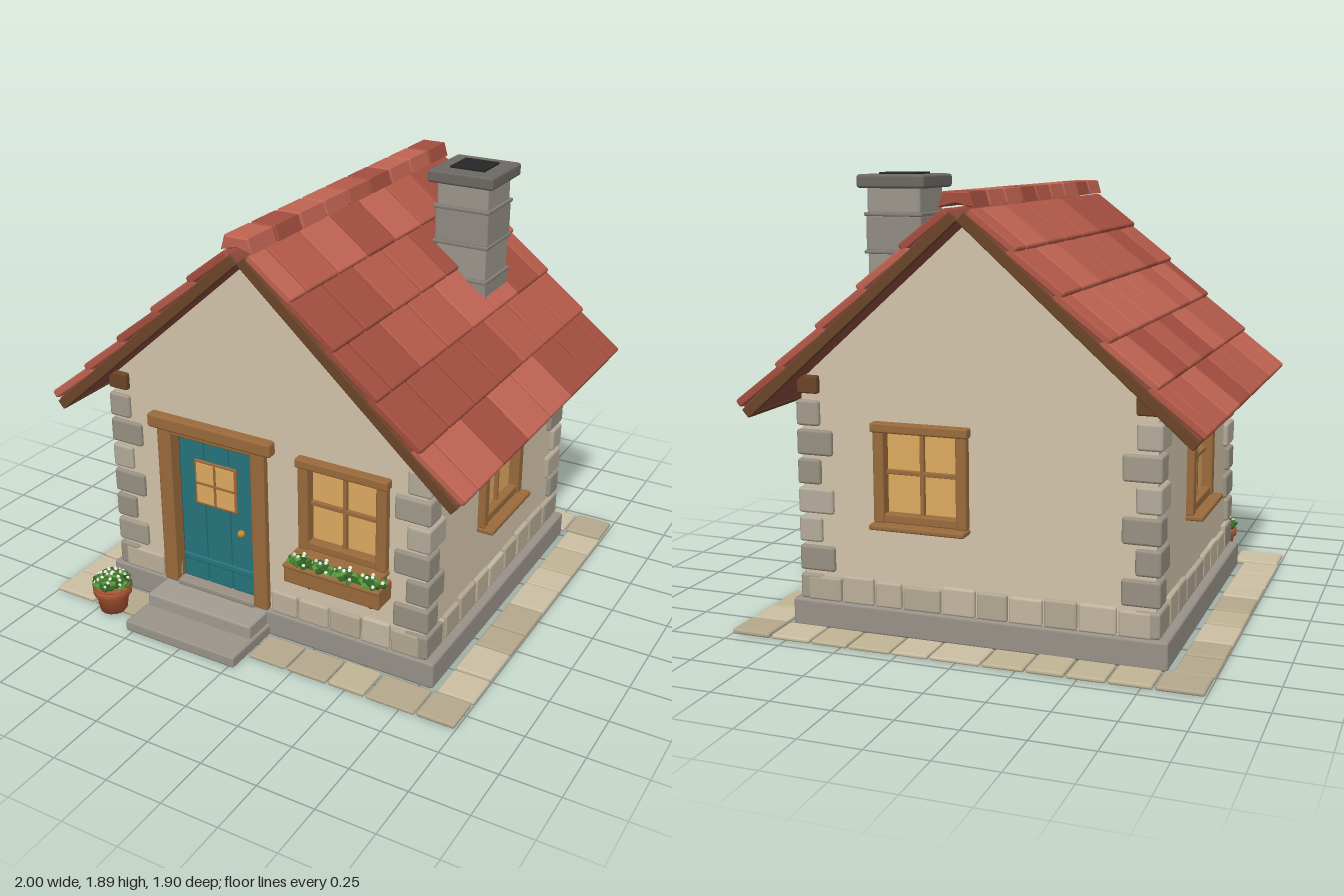
import * as THREE from 'three';
import { RoundedBoxGeometry } from 'three/addons/geometries/RoundedBoxGeometry.js';

const mats = {};
const mat = (c) => (mats[c] ??= new THREE.MeshStandardMaterial({ color: c }));
const WALL = 0xd4c5ab, WOOD = 0x9a6b3c, DARKWOOD = 0x6b4528, TEAL = 0x25757c, GLASS = 0xdfab60;
const STONES = [0xa39b8c, 0xb5ac9b, 0x989183], PLINTH = [0xbdb19a, 0xb3a892, 0xc3b8a1], PAVERS = [0xc2b596, 0xb5a88c, 0xccc0a4];
const TILES = [0xb45a49, 0xa34e3f, 0xc06452], LEAVES = [0x3f7a2c, 0x56973c, 0x2f6424];
const HX = 0.755, HZ = 0.69, FLOOR = 0.12, APEX = 1.72, PITCH = 41.5 * Math.PI / 180;
const roofY = (x) => APEX - Math.abs(x) * Math.tan(PITCH);

let seed = 7;
const rnd = () => (seed = (seed * 16807) % 2147483647) / 2147483647;
const pick = (list) => list[Math.floor(rnd() * list.length)];

function add(parent, name, geometry, color, x = 0, y = 0, z = 0) {
  const m = new THREE.Mesh(geometry, mat(color));
  m.name = name;
  m.position.set(x, y, z);
  parent.add(m);
  return m;
}
// chamfered block given by its min and max corners
function block(parent, name, color, [x0, x1], [y0, y1], [z0, z1], r = 0.008) {
  const w = x1 - x0, h = y1 - y0, d = z1 - z0;
  const g = new RoundedBoxGeometry(w, h, d, 1, Math.min(r, w * 0.45, h * 0.45, d * 0.45));
  return add(parent, name, g, color, (x0 + x1) / 2, (y0 + y1) / 2, (z0 + z1) / 2);
}
function group(parent, name, x = 0, y = 0, z = 0) {
  const g = new THREE.Group();
  g.name = name;
  g.position.set(x, y, z);
  parent.add(g);
  return g;
}
function polygon(points, Type = THREE.Shape) {
  return new Type(points.map(([x, y]) => new THREE.Vector2(x, y)));
}
const rect = (x0, x1, y0, y1) => [[x0, y0], [x1, y0], [x1, y1], [x0, y1]];

// wall with its outer face on local z = 0, openings cut through
function wallPanel(parent, outline, openings) {
  const shape = polygon(outline);
  shape.holes = openings.map((o) => polygon(rect(...o), THREE.Path));
  add(parent, 'wall', new THREE.ExtrudeGeometry(shape, { depth: 0.06, bevelEnabled: false }), WALL, 0, 0, -0.06);
}

function windowUnit(parent, cx) {
  const w = group(parent, 'window', cx, 0, 0);
  block(w, 'windowGlass', GLASS, [-0.17, 0.17], [0.48, 0.88], [-0.05, -0.015], 0.002);
  for (const s of [-1, 1]) {
    block(w, 'windowJamb', WOOD, [s * 0.18 - 0.024, s * 0.18 + 0.024], [0.485, 0.87], [-0.04, 0.032]);
  }
  block(w, 'windowFrameBottom', WOOD, [-0.17, 0.17], [0.485, 0.525], [-0.04, 0.025]);
  block(w, 'windowHeader', WOOD, [-0.212, 0.212], [0.862, 0.902], [-0.04, 0.042]);
  block(w, 'windowSill', WOOD, [-0.208, 0.208], [0.465, 0.488], [-0.03, 0.075]);
  block(w, 'windowMullion', WOOD, [-0.009, 0.009], [0.52, 0.865], [-0.02, 0.002], 0.003);
  block(w, 'windowCrossbar', WOOD, [-0.16, 0.16], [0.686, 0.704], [-0.02, 0.002], 0.003);
}

// leafy mound with small blossoms, filling an ellipsoid
function foliage(parent, cx, cy, cz, rx, ry, rz, n) {
  const leaf = new THREE.IcosahedronGeometry(1, 0), petal = new THREE.IcosahedronGeometry(0.009, 0);
  for (let i = 0; i < n; i++) {
    const a = i * 2.4, r = Math.sqrt((i + 0.5) / n), h = Math.sqrt(1 - r * r * 0.8);
    const x = cx + rx * r * Math.cos(a), y = cy + ry * h, z = cz + rz * r * Math.sin(a);
    const m = add(parent, 'leaf', leaf, pick(LEAVES), x, y - 0.012, z);
    m.scale.set(0.022, 0.012, 0.018);
    m.rotation.set(rnd() - 0.5, rnd() * 6, rnd() - 0.5);
    if (i % 3 === 0) add(parent, 'blossom', petal, pick([0xf2eee6, 0xe8d5dc, 0xf4f0d8]), x, y, z);
  }
}

function flowerBox(parent, cx) {
  const b = group(parent, 'flowerBox', cx, 0, 0);
  block(b, 'boxBack', WOOD, [-0.215, 0.215], [0.365, 0.45], [0.005, 0.02]);
  block(b, 'boxFront', WOOD, [-0.22, 0.22], [0.365, 0.45], [0.1, 0.118]);
  block(b, 'boxRim', WOOD, [-0.225, 0.225], [0.435, 0.455], [0.1, 0.125]);
  block(b, 'boxSoil', 0x4a3424, [-0.21, 0.21], [0.365, 0.435], [0.02, 0.1]);
  for (const s of [-1, 1]) {
    block(b, 'boxEnd', WOOD, [s * 0.214 - 0.008, s * 0.214 + 0.008], [0.365, 0.452], [0.005, 0.118]);
    block(b, 'boxBracket', DARKWOOD, [s * 0.145 - 0.009, s * 0.145 + 0.009], [0.31, 0.37], [0, 0.05]);
    for (const k of [0.055, 0.16]) foliage(b, s * k, 0.435, 0.065, 0.06, 0.055, 0.05, 26);
  }
}

function door(parent) {
  const d = group(parent, 'door', -0.25, 0, 0);
  for (const i of [-1, 0, 1]) {
    block(d, 'doorPlank', TEAL, [i * 0.127 - 0.062, i * 0.127 + 0.062], [0.14, 0.84], [-0.05, -0.015], 0.006);
  }
  block(d, 'doorBacking', 0x1a5358, [-0.2, 0.2], [0.12, 0.86], [-0.058, -0.03], 0.002);
  block(d, 'doorRail', TEAL, [-0.185, 0.185], [0.235, 0.265], [-0.02, -0.005]);
  for (const s of [-1, 1]) block(d, 'doorPost', WOOD, [s * 0.235 - 0.035, s * 0.235 + 0.035], [FLOOR, 0.875], [-0.05, 0.03]);
  block(d, 'doorTopRail', WOOD, [-0.21, 0.21], [0.842, 0.875], [-0.05, 0.02]);
  block(d, 'doorLintel', WOOD, [-0.308, 0.308], [0.868, 0.932], [-0.03, 0.045], 0.012);
  block(d, 'doorSill', STONES[2], [-0.2, 0.2], [0.11, 0.138], [-0.05, 0.03]);
  // small window in the door
  block(d, 'doorWindowFrame', WOOD, [-0.107, 0.107], [0.53, 0.742], [-0.03, -0.006], 0.004);
  block(d, 'doorWindowGlass', GLASS, [-0.096, 0.096], [0.541, 0.731], [-0.02, -0.003], 0.002);
  block(d, 'doorWindowBar', WOOD, [-0.005, 0.005], [0.54, 0.732], [-0.01, 0.002], 0.002);
  block(d, 'doorWindowBar', WOOD, [-0.097, 0.097], [0.631, 0.641], [-0.01, 0.002], 0.002);
  add(d, 'doorKnob', new THREE.SphereGeometry(0.017, 12, 8), 0xc08a2e, 0.13, 0.447, 0.002);
}

// row of stones along local x between a and b
function stoneRow(parent, name, colors, a, b, step, y0, y1, z, vary) {
  const n = Math.max(1, Math.round((b - a) / step)), w = (b - a) / n;
  let x = a;
  for (let i = 1; i <= n; i++) {
    const end = i === n ? b : a + i * w + (rnd() - 0.5) * step * 0.25;
    block(parent, name, pick(colors), [x + 0.004, end - 0.004], [y0, y1 - rnd() * vary], z, 0.01);
    x = end;
  }
}

function roofSlope(house, rotY) {
  const turn = group(house, 'roofSlope', 0, APEX, 0);
  turn.rotation.y = rotY;
  const slope = group(turn, 'slope');
  slope.rotation.z = -PITCH;
  const L = 1.225, Z = 0.84, row = L / 5, col = 2 * Z / 7;
  block(slope, 'roofDeck', 0x8f4a3d, [0, L - 0.01], [0.004, 0.05], [-Z + 0.01, Z - 0.01], 0.002);
  for (const s of [-1, 1]) block(slope, 'bargeBoard', DARKWOOD, [0.0, L], [0, 0.045], [s * 0.827 - 0.014, s * 0.827 + 0.014], 0.004);
  block(slope, 'eaveBoard', DARKWOOD, [L - 0.03, L], [0, 0.045], [-Z, Z], 0.004);
  for (let r = 0; r < 5; r++) {
    // alternate rows shifted by half a tile
    const edges = [-Z];
    for (let z = -Z + (r % 2 ? col : col / 2); z < Z - 0.01; z += col) edges.push(z);
    edges.push(Z);
    for (let i = 0; i + 1 < edges.length; i++) {
      const x1 = L - (4 - r) * row + 0.004;
      const x0 = Math.max(x1 - row - 0.03, 0.01);
      const t = block(slope, 'roofTile', pick(TILES), [x0, x1], [0.042, 0.079],
        [edges[i] + 0.004, edges[i + 1] - 0.004], 0.01);
      t.rotation.z = 0.09;
      t.rotation.z *= -1;
      t.position.y += 0.004;
      t.rotation.z = 0.07;
    }
  }
}

function chimney(house) {
  const c = group(house, 'chimney', 0.43, 0, -0.348);
  const ys = [1.2, 1.41, 1.565, 1.72, 1.84];
  for (let i = 0; i < 4; i++) {
    const h = i % 2 ? 0.12 : 0.125;
    block(c, 'chimneyCourse', i % 2 ? 0x9c968d : 0x928c83, [-h, h], [ys[i], ys[i + 1]], [-h, h], 0.012);
    if (i) block(c, 'chimneyBand', 0x857f77, [-0.13, 0.13], [ys[i] - 0.008, ys[i] + 0.008], [-0.13, 0.13], 0.005);
  }
  block(c, 'chimneyCap', 0x6d6964, [-0.152, 0.152], [1.826, 1.882], [-0.152, 0.152], 0.012);
  block(c, 'chimneyFlue', 0x262626, [-0.08, 0.08], [1.85, 1.89], [-0.08, 0.08], 0.003);
}

export function createModel() {
  const model = new THREE.Group();
  model.name = 'cottage';
  const house = group(model, 'house', 0, 0, -0.048);
  block(house, 'foundation', 0x99928a, [-0.81, 0.81], [0, FLOOR], [-0.715, 0.715], 0.012);

  // four faces: local x along the wall, local z outward
  const gable = [[-HX, FLOOR], [HX, FLOOR], [HX, roofY(HX)], [0, APEX], [-HX, roofY(HX)]];
  const side = rect(-HZ + 0.06, HZ - 0.06, FLOOR, roofY(HX));
  const faces = [
    { name: 'frontFace', rot: 0, dist: HZ, half: HX, outline: gable, win: 0.385, hasDoor: true },
    { name: 'backFace', rot: Math.PI, dist: HZ, half: HX, outline: gable, win: -0.22 },
    { name: 'leftFace', rot: Math.PI / 2, dist: HX, half: HZ, outline: side, win: 0 },
    { name: 'rightFace', rot: -Math.PI / 2, dist: HX, half: HZ, outline: side, win: 0 },
  ];
  for (const f of faces) {
    const turn = group(house, f.name);
    turn.rotation.y = f.rot;
    const face = group(turn, 'face', 0, 0, f.dist);
    const holes = [[f.win - 0.165, f.win + 0.165, 0.5, 0.87]];
    if (f.hasDoor) holes.push([-0.45, -0.05, 0.125, 0.86]);
    wallPanel(face, f.outline, holes);
    windowUnit(face, f.win);
    const runs = f.hasDoor ? [[-f.half + 0.01, -0.53], [0.03, f.half - 0.01]] : [[-f.half + 0.01, f.half - 0.01]];
    for (const [a, b] of runs) stoneRow(face, 'plinthStone', PLINTH, a, b, 0.155, FLOOR, 0.243, [-0.03, 0.02], 0.025);
    if (f.hasDoor) { door(face); flowerBox(face, f.win); }
  }

  // corner stones, alternating long and short
  for (const sx of [-1, 1]) for (const sz of [-1, 1]) for (let i = 0; i < 7; i++) {
    const lx = i % 2 ? 0.16 : 0.105, lz = i % 2 ? 0.105 : 0.155, y = FLOOR + i * 0.1235;
    const g = new RoundedBoxGeometry(lx, 0.108, lz, 1, 0.012);
    add(house, 'cornerStone', g, pick(STONES), sx * (0.776 - lx / 2), y + 0.056, sz * (0.708 - lz / 2));
  }

  // roof with wall plates and ridge caps
  for (const s of [-1, 1]) block(house, 'wallPlate', DARKWOOD, [s * 0.718 - 0.047, s * 0.718 + 0.047], [1.0, 1.075], [-0.715, 0.715]);
  roofSlope(house, 0);
  roofSlope(house, Math.PI);
  const cap = polygon([[-0.066, 1.775], [0, 1.79], [0.066, 1.775], [0.05, 1.825], [-0.05, 1.825]]);
  for (let i = 0; i < 9; i++) {
    const g = new THREE.ExtrudeGeometry(cap, { depth: 0.166, bevelThickness: 0.006, bevelSize: 0.005, bevelSegments: 1 });
    add(house, 'ridgeCap', g, pick(TILES), 0, 0, -0.842 + i * 0.1875 + 0.007);
  }
  chimney(house);

  // steps
  block(house, 'lowerStep', 0x9a948a, [-0.533, 0.028], [0, 0.052], [0.7, 0.998], 0.01);
  block(house, 'upperStep', 0xa39d92, [-0.52, 0.015], [0.04, 0.112], [0.69, 0.85], 0.01);

  // paving around the foundation
  for (const f of faces) {
    const turn = group(house, 'paving');
    turn.rotation.y = f.rot;
    const gabled = f.outline === gable;
    const z = gabled ? [0.735, 0.9] : [0.835, 1], len = gabled ? 1 : 0.73;
    const runs = f.hasDoor ? [[-len, -0.54], [0.035, len]] : [[-len, len]];
    for (const [a, b] of runs) stoneRow(turn, 'paver', PAVERS, a, b, 0.185, 0, 0.024, z, 0.008);
  }

  // potted plant
  const pot = group(house, 'flowerPot', -0.68, 0.012, 0.893);
  const profile = [[0, 0], [0.06, 0], [0.074, 0.085], [0.085, 0.085], [0.087, 0.115], [0.076, 0.115], [0.072, 0.1], [0, 0.1]];
  add(pot, 'pot', new THREE.LatheGeometry(profile.map(([x, y]) => new THREE.Vector2(x, y)), 16), 0xb25a36);
  foliage(pot, 0, 0.115, 0, 0.075, 0.068, 0.075, 70);
  return model;
}
